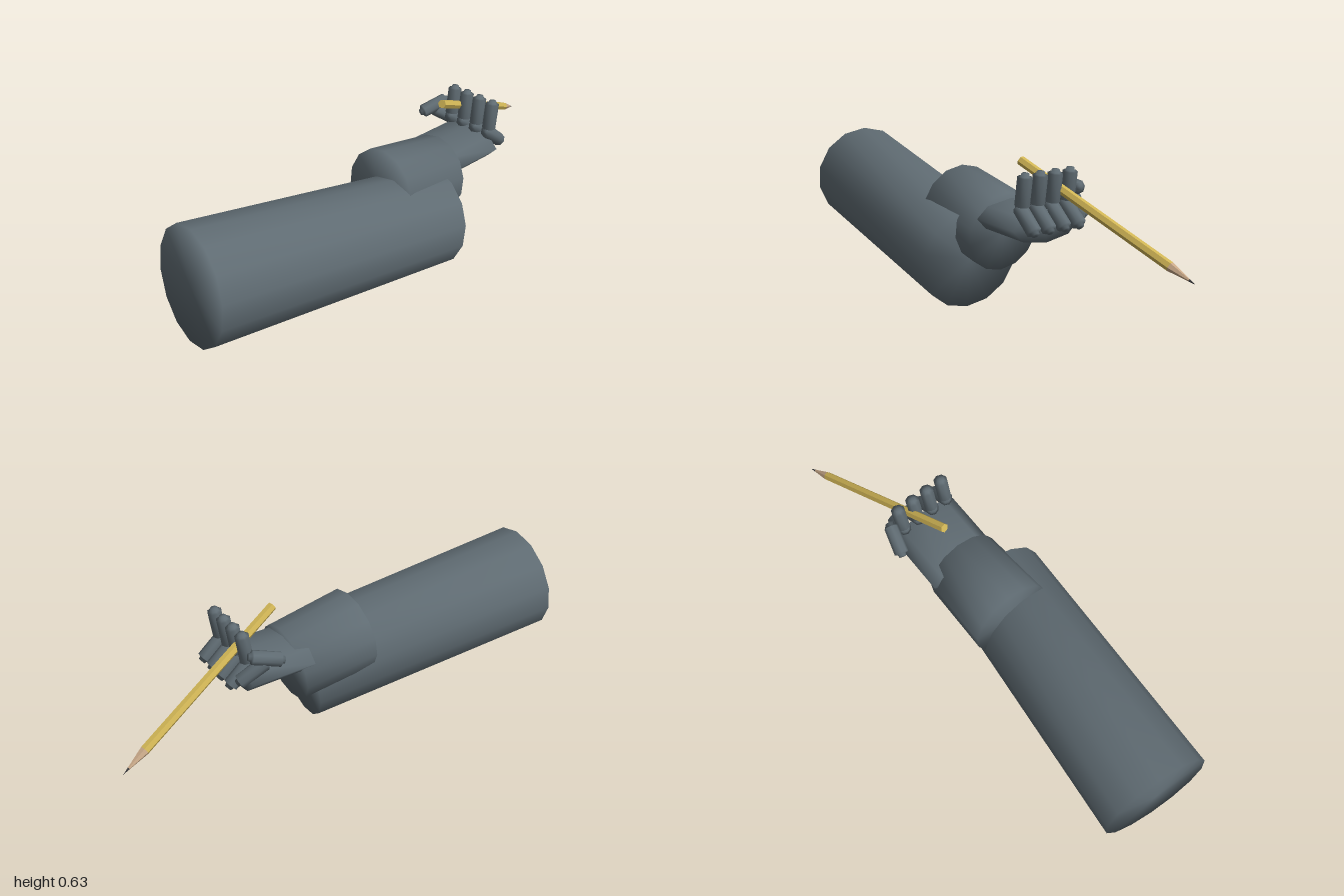
import * as THREE from 'three';
import { mergeVertices } from 'three/addons/utils/BufferGeometryUtils.js';

const grey = new THREE.MeshStandardMaterial({ name: 'slate grey', color: 0x5f6b72 });
const yellow = new THREE.MeshStandardMaterial({ name: 'pencil yellow', color: 0xcfb455 });
const wood = new THREE.MeshStandardMaterial({ name: 'bare wood', color: 0xc8a888 });
const graphite = new THREE.MeshStandardMaterial({ name: 'graphite', color: 0x3c3c3e });

// Weld a geometry so its normals run smoothly around the rims
function soften(geometry) {
  geometry.deleteAttribute('uv');
  geometry.deleteAttribute('normal');
  const welded = mergeVertices(geometry, 1e-4);
  welded.computeVertexNormals();
  return welded;
}

// Stand a y-axis geometry along the line from a to b
function place(name, geometry, material, a, b) {
  const start = new THREE.Vector3(...a), end = new THREE.Vector3(...b);
  geometry.rotateX(Math.PI / 2);
  const mesh = new THREE.Mesh(geometry, material);
  mesh.name = name;
  mesh.position.copy(start).add(end).multiplyScalar(0.5);
  mesh.lookAt(end);
  return mesh;
}

const distance = (a, b) => new THREE.Vector3(...a).distanceTo(new THREE.Vector3(...b));

function limb(name, a, b, ra, rb, sides) {
  return place(name, soften(new THREE.CylinderGeometry(rb, ra, distance(a, b), sides)), grey, a, b);
}

// Finger bone: an eight-sided rod with small stepped ends
function bone(name, a, b) {
  const h = distance(a, b) / 2;
  const profile = [[0, -h], [0.014, -h], [0.017, -h + 0.011], [0.028, -h + 0.014],
    [0.028, h - 0.014], [0.017, h - 0.011], [0.014, h], [0, h]].map(p => new THREE.Vector2(...p));
  return place(name, soften(new THREE.LatheGeometry(profile, 8)), grey, a, b);
}

export function createModel() {
  const model = new THREE.Group();
  model.name = 'handWithPencil';

  // Forearm and wrist cuff
  model.add(limb('forearm', [-0.045, 0.355, 0.965], [0.067, 0.205, -0.12], 0.226, 0.206, 14));
  model.add(limb('wristCuff', [-0.02, 0.372, 0.09], [-0.02, 0.327, -0.225], 0.172, 0.161, 14));

  // Flattened palm
  const palm = limb('palm', [-0.035, 0.398, -0.19], [-0.035, 0.398, -0.46], 0.15, 0.15, 8);
  palm.scale.y = 0.42;
  model.add(palm);

  // Four curled fingers
  for (let i = 0; i < 4; i++) {
    const x = -0.135 + i * 0.069;
    const finger = new THREE.Group();
    finger.name = 'finger' + (i + 1);
    finger.add(bone('lowerBone', [x, 0.485, -0.43], [x, 0.395, -0.535]));
    finger.add(bone('upperBone', [x, 0.472, -0.45], [x, 0.607, -0.469]));
    model.add(finger);
  }

  // Thumb
  const thumb = new THREE.Group();
  thumb.name = 'thumb';
  thumb.add(bone('lowerBone', [-0.2, 0.5, -0.4], [-0.16, 0.42, -0.51]));
  thumb.add(bone('upperBone', [-0.217, 0.493, -0.342], [-0.18, 0.53, -0.47]));
  model.add(thumb);

  // Pencil: hexagonal body, sharpened wood and lead
  const end = new THREE.Vector3(-0.045, 0.613, -0.288), tip = new THREE.Vector3(-0.24, 0.282, -1);
  const pencil = new THREE.Group();
  pencil.name = 'pencil';
  const pieces = [['pencilBody', yellow, 0, 0.865, 0.018, 0.018],
    ['pencilWood', wood, 0.865, 0.965, 0.018, 0.0047],
    ['pencilLead', graphite, 0.965, 1, 0.0047, 0]];
  for (const [name, material, t0, t1, r0, r1] of pieces) {
    const a = end.clone().lerp(tip, t0).toArray(), b = end.clone().lerp(tip, t1).toArray();
    const geometry = new THREE.CylinderGeometry(r1, r0, distance(a, b), 6).toNonIndexed();
    geometry.rotateY(Math.PI / 6);
    geometry.computeVertexNormals();
    pencil.add(place(name, geometry, material, a, b));
  }
  model.add(pencil);
  return model;
}
